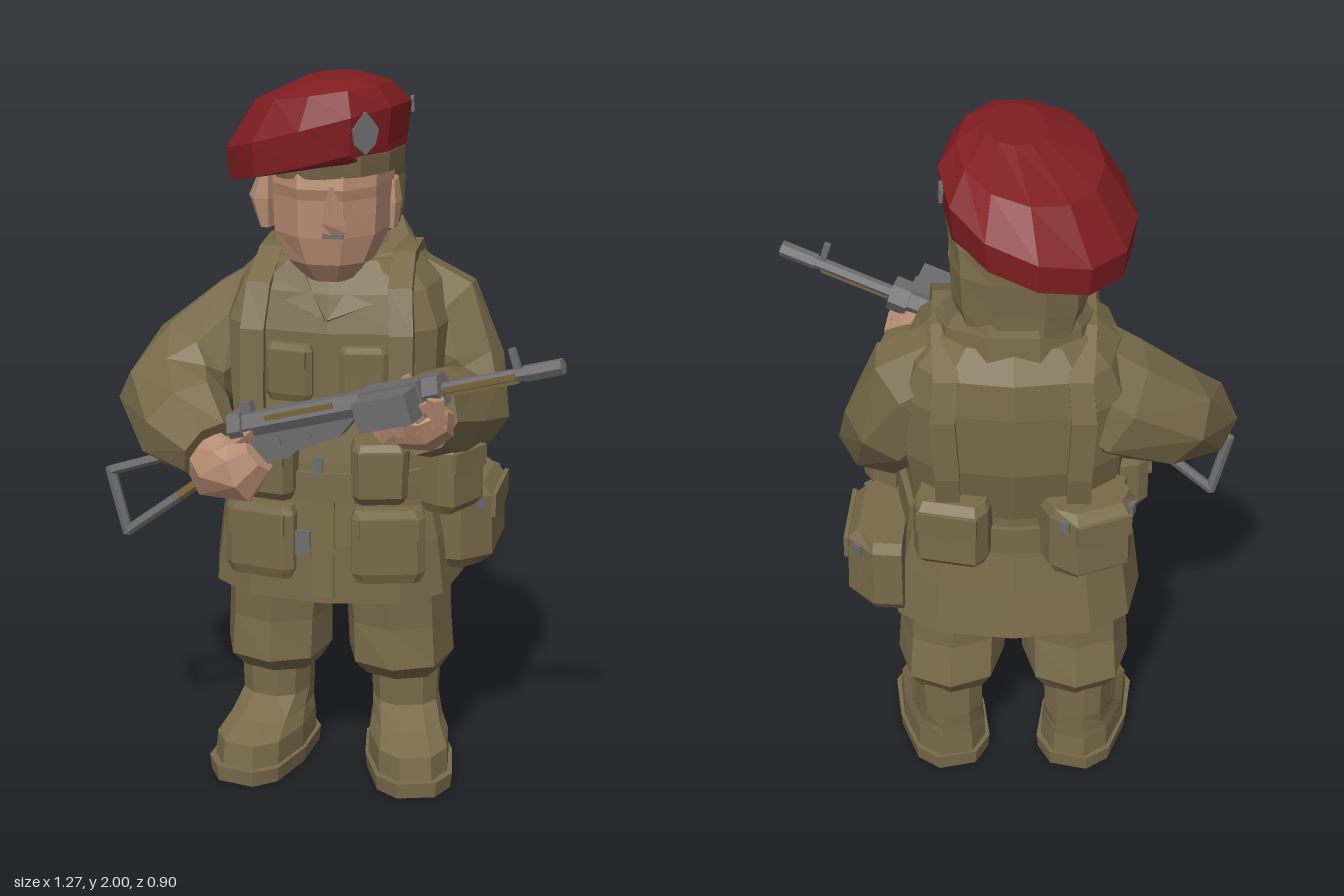
import * as THREE from 'three';

const paint = (name, color) => { const m = new THREE.MeshStandardMaterial({ color }); m.name = name; return m; };
const CX = -0.02; // body centre line

export function createModel() {
  const model = new THREE.Group();
  model.name = 'soldier';
  const khaki = paint('khaki cloth', 0x786a49), red = paint('beret red', 0x801d20), skin = paint('skin', 0xb48a70);
  const metal = paint('gun metal', 0x6c6d6c), brown = paint('brown trim', 0x7a653b);

  // Every surface is faceted
  function add(name, geo, mat, parent = model, pos = [0, 0, 0], rot = [0, 0, 0]) {
    const g = geo.index ? geo.toNonIndexed() : geo;
    g.computeVertexNormals();
    const mesh = new THREE.Mesh(g, mat);
    mesh.name = name;
    mesh.position.set(...pos);
    mesh.rotation.set(...rot);
    parent.add(mesh);
    return mesh;
  }
  const box = (name, size, mat, parent, pos, rot) => add(name, new THREE.BoxGeometry(...size), mat, parent, pos, rot);

  // Skin a stack of point rings and close both ends
  function skinRings(rings) {
    const n = rings[0].length, p = [], tri = (...v) => v.forEach((q) => p.push(q.x, q.y, q.z));
    for (let r = 0; r < rings.length - 1; r++) for (let i = 0; i < n; i++) {
      const j = (i + 1) % n, lo = rings[r], up = rings[r + 1];
      tri(lo[i], up[i], up[j], lo[i], up[j], lo[j]);
    }
    const mid = (ring) => ring.reduce((s, q) => s.add(q), new THREE.Vector3()).divideScalar(n);
    const a = rings[0], b = rings[rings.length - 1], ca = mid(a), cb = mid(b);
    for (let i = 0; i < n; i++) {
      const j = (i + 1) % n;
      tri(ca, a[i], a[j], cb, b[j], b[i]);
    }
    const g = new THREE.BufferGeometry();
    g.setAttribute('position', new THREE.Float32BufferAttribute(p, 3));
    return g;
  }
  const sq = (v, e) => Math.sign(v) * Math.pow(Math.abs(v), e);

  // Upright form: rows of x, y, z, rx, rz, slope along x, slope along z
  function loft(name, mat, rows, n = 8, e = 1, parent = model) {
    return add(name, skinRings(rows.map(([x, y, z, rx, rz, sx = 0, sz = 0]) => Array.from({ length: n }, (_, i) => {
      const t = (i / n) * Math.PI * 2, dx = rx * sq(Math.cos(t), e), dz = rz * sq(Math.sin(t), e);
      return new THREE.Vector3(x + dx, y + dx * sx + dz * sz, z + dz);
    }))), mat, parent);
  }

  // Bent form along a path: rows of x, y, z, radius in the bend, radius across it
  function limb(name, mat, rows, n = 8, ref) {
    const c = rows.map((r) => new THREE.Vector3(r[0], r[1], r[2])), last = c.length - 1;
    const side = ref ? new THREE.Vector3(...ref)
      : c[1].clone().sub(c[0]).cross(c[last].clone().sub(c[last - 1])).normalize();
    return add(name, skinRings(rows.map((r, k) => {
      const d = c[Math.min(k + 1, last)].clone().sub(c[Math.max(k - 1, 0)]).normalize();
      const u = d.clone().cross(side).normalize(), v = u.clone().cross(d);
      return Array.from({ length: n }, (_, i) => {
        const t = ((i + 0.5) / n) * Math.PI * 2;
        return c[k].clone().addScaledVector(u, r[3] * Math.cos(t)).addScaledVector(v, r[4] * Math.sin(t));
      });
    })), mat);
  }

  function plate(name, pts, depth, mat, parent, pos, rot) {
    const s = new THREE.Shape(pts.map((p) => new THREE.Vector2(...p)));
    return add(name, new THREE.ExtrudeGeometry(s, { depth, bevelEnabled: false }), mat, parent, pos, rot);
  }
  function rod(name, a, b, r, mat, parent = model) {
    const A = new THREE.Vector3(...a), B = new THREE.Vector3(...b), d = B.clone().sub(A);
    const m = add(name, new THREE.CylinderGeometry(r, r, d.length(), 6), mat, parent);
    m.position.copy(A.add(B).multiplyScalar(0.5));
    m.quaternion.setFromUnitVectors(new THREE.Vector3(0, 1, 0), d.normalize());
  }

  // Bag with bevelled corners and a pointed flap; large bags have a buckle on each bevel
  function pouch(name, pos, [w, h, d], yaw, buckled = false) {
    const g = new THREE.Group();
    g.name = name;
    g.position.set(...pos);
    g.rotation.y = yaw;
    model.add(g);
    const k = buckled ? 0.6 : 0.76, b0 = buckled ? 0 : 0.3;
    const outline = [[-1, -1], [1, -1], [1, b0], [k, 1], [-k, 1], [-1, b0]];
    const ring = (y, s, f) => outline.map(([a, b]) => new THREE.Vector3(a * w * s / 2, y * h, (b > -1 ? b * f : b) * d / 2));
    add('bag', skinRings([ring(-0.5, 0.86, 0.6), ring(-0.36, 1, 1), ring(0.38, 1, 0.95), ring(0.5, 0.9, 0.6)]), khaki, g);
    const f = w * (k / 2 + 0.02);
    plate('flap', [[-f, h * 0.4], [-f, h * 0.12], [0, h * 0.01], [f, h * 0.12], [f, h * 0.4]], 0.012, khaki, g, [0, 0, d / 2 - 0.004]);
    if (buckled) for (const s of [1, -1])
      box('buckle', [0.026, 0.034, 0.014], metal, g, [s * w * 0.4, h * 0.34, d * 0.25 + 0.004], [0, s * 0.8, 0]);
  }

  // Jacket, collar and belt
  loft('jacket', khaki, [
    [CX, 0.595, -0.09, 0.35, 0.28, 0, -0.04], [CX, 0.75, -0.08, 0.33, 0.265], [CX, 0.88, -0.075, 0.3, 0.25],
    [CX, 0.98, -0.08, 0.29, 0.245], [CX, 1.15, -0.115, 0.31, 0.25], [CX, 1.33, -0.12, 0.315, 0.25],
    [CX, 1.43, -0.13, 0.275, 0.23], [CX, 1.505, -0.14, 0.2, 0.17]], 12, 0.74);
  loft('collar', khaki, [[CX, 1.45, -0.13, 0.22, 0.2, 0, -0.1], [CX, 1.51, -0.135, 0.21, 0.185, 0, -0.2], [CX, 1.545, -0.14, 0.18, 0.165, 0, -0.3]], 10);
  loft('belt', khaki, [[CX, 0.875, -0.076, 0.315, 0.265], [CX, 0.955, -0.078, 0.31, 0.262]], 12, 0.76);
  box('beltBuckle', [0.024, 0.07, 0.012], metal, model, [-0.035, 0.965, 0.176]);
  plate('placket', [[-0.03, 0], [0.03, 0], [0.03, 0.28], [-0.03, 0.28]], 0.012, khaki, model, [CX, 0.6, 0.185], [-0.06, 0, 0]);
  box('jacketSnap', [0.05, 0.07, 0.009], metal, model, [-0.08, 0.755, 0.183], [0, -0.1, 0]);
  loft('neck', skin, [[CX, 1.4, -0.1, 0.13, 0.14], [CX, 1.6, -0.1, 0.13, 0.14]], 8);

  for (const s of [1, -1]) {
    const X = (x) => CX + s * x, side = s > 0 ? 'left' : 'right';
    plate(side + 'Lapel', s > 0 ? [[0, 0], [0.15, 0.07], [0.16, 0.13], [0.09, 0.17]] : [[0, 0], [-0.09, 0.17], [-0.16, 0.13], [-0.15, 0.07]],
      0.02, khaki, model, [CX, 1.36, 0.12], [-0.5, s * 0.2, 0]);
    // Webbing over the shoulder
    limb(side + 'Strap', khaki, [[0.19, 0.93, 0.15], [0.2, 1.15, 0.13], [0.2, 1.33, 0.115], [0.19, 1.44, 0.075], [0.18, 1.5, -0.05],
      [0.18, 1.5, -0.2], [0.17, 1.43, -0.345], [0.18, 1.33, -0.365], [0.17, 1.15, -0.36], [0.17, 0.93, -0.315]]
      .map(([x, y, z]) => [X(x), y, z, 0.024, 0.045]), 4, [1, 0, 0]);
    pouch(side + 'ChestPocket', [X(0.1), 1.22, 0.125], [0.13, 0.16, 0.04], s * 0.15);
    pouch(side + 'SkirtPocket', [X(0.175), 0.755, 0.165], [0.2, 0.21, 0.05], s * 0.22);
    pouch(side + 'AmmoPouch', [X(0.15), 0.965, 0.165], [0.15, 0.17, 0.09], s * 0.2);

    // Trousers and boots
    loft(side + 'TrouserLeg', khaki, [[X(0.175), 0.285, -0.115, 0.115, 0.12], [X(0.175), 0.345, -0.1, 0.15, 0.18],
      [X(0.17), 0.46, -0.09, 0.148, 0.155], [X(0.158), 0.64, -0.08, 0.155, 0.16]], 8, 0.85);
    const boot = new THREE.Group();
    boot.name = side + 'Boot';
    boot.position.set(X(0.185), 0, -0.13);
    boot.rotation.y = s * 0.24;
    model.add(boot);
    loft('bootSole', khaki, [[0, 0, 0.097, 0.12, 0.212], [0, 0.045, 0.097, 0.125, 0.215]], 10, 0.7, boot);
    loft('bootUpper', khaki, [[0, 0.045, 0.092, 0.115, 0.205], [0, 0.11, 0.088, 0.113, 0.195], [0, 0.145, 0.045, 0.1, 0.15],
      [0, 0.19, 0, 0.095, 0.105], [0, 0.31, 0, 0.1, 0.105]], 10, 0.8, boot);
  }
  loft('rightEar', skin, [[-0.215, 1.57, -0.06, 0.02, 0.03], [-0.225, 1.65, -0.07, 0.04, 0.05], [-0.215, 1.72, -0.07, 0.02, 0.04]], 6);
  loft('leftEar', skin, [[0.125, 1.58, -0.07, 0.015, 0.03], [0.125, 1.65, -0.08, 0.024, 0.045], [0.125, 1.71, -0.08, 0.015, 0.035]], 6);

  // Bags hung round the belt
  pouch('leftHipPouch', [0.31, 0.935, 0.05], [0.16, 0.2, 0.12], 1.0);
  pouch('rightHipPouch', [-0.33, 0.92, -0.02], [0.15, 0.17, 0.09], -1.35);
  pouch('satchel', [0.345, 0.755, -0.135], [0.34, 0.23, 0.155], Math.PI / 2 - 0.06, true);
  pouch('backLeftPouch', [0.14, 0.965, -0.33], [0.2, 0.2, 0.13], Math.PI - 0.2);
  pouch('backRightPouch', [-0.225, 0.955, -0.335], [0.24, 0.21, 0.15], Math.PI + 0.42, true);

  // Sleeves and hands
  limb('leftSleeve', khaki, [[0.1, 1.37, -0.17, 0.11, 0.15], [0.225, 1.3, -0.17, 0.125, 0.165], [0.295, 1.17, -0.14, 0.12, 0.14],
    [0.315, 1.085, -0.07, 0.14, 0.125], [0.28, 1.11, 0.07, 0.125, 0.125], [0.255, 1.145, 0.22, 0.09, 0.105]]);
  limb('rightSleeve', khaki, [[-0.14, 1.37, -0.17, 0.12, 0.16], [-0.28, 1.27, -0.17, 0.135, 0.17], [-0.42, 1.165, -0.1, 0.15, 0.14],
    [-0.475, 1.1, 0.0, 0.155, 0.125], [-0.41, 1.055, 0.12, 0.14, 0.118], [-0.32, 1.01, 0.2, 0.09, 0.095]]);
  limb('leftHand', skin, [[0.26, 1.13, 0.2, 0.06, 0.08], [0.25, 1.145, 0.27, 0.075, 0.1], [0.24, 1.17, 0.33, 0.065, 0.1], [0.235, 1.2, 0.36, 0.035, 0.075]], 8, [1, 0, 0]);
  limb('rightHand', skin, [[-0.37, 1.03, 0.17, 0.06, 0.06], [-0.3, 0.97, 0.22, 0.09, 0.07], [-0.23, 0.97, 0.245, 0.085, 0.06], [-0.18, 1.02, 0.25, 0.05, 0.04]], 7, [0, 0, 1]);
  for (let i = 0; i < 4; i++) {
    const x = 0.17 + i * 0.045, y = 1.14 + i * 0.013;
    limb('leftFinger', skin, [[x, y, 0.29, 0.028, 0.027], [x, y + 0.005, 0.36, 0.028, 0.027], [x, y + 0.07, 0.37, 0.022, 0.024]], 5, [1, 0, 0]);
  }
  rod('leftThumb', [0.28, 1.17, 0.23], [0.2, 1.25, 0.25], 0.028, skin);
  rod('rightThumb', [-0.28, 1.02, 0.22], [-0.2, 1.09, 0.22], 0.026, skin);

  // Head
  loft('head', skin, [[-0.025, 1.46, 0.0, 0.07, 0.085], [-0.03, 1.515, -0.01, 0.12, 0.135], [-0.035, 1.59, -0.06, 0.16, 0.2],
    [-0.035, 1.69, -0.07, 0.165, 0.21], [-0.035, 1.72, -0.07, 0.165, 0.218], [-0.035, 1.79, -0.08, 0.165, 0.21]], 10, 0.85);
  loft('hair', khaki, [[-0.035, 1.52, -0.19, 0.15, 0.12], [-0.035, 1.6, -0.2, 0.172, 0.11], [-0.035, 1.7, -0.19, 0.177, 0.13], [-0.035, 1.77, -0.15, 0.18, 0.17]], 10, 0.85);
  loft('nose', skin, [[0, 1.605, 0.13, 0.035, 0.025], [0, 1.63, 0.13, 0.032, 0.034], [-0.005, 1.73, 0.125, 0.016, 0.018]], 4);
  box('moustache', [0.055, 0.012, 0.009], metal, model, [0, 1.6, 0.143]);

  // Beret sagging to the right, with badges
  loft('beretBand', khaki, [[-0.03, 1.735, -0.085, 0.183, 0.23, 0.06, 0.06], [-0.03, 1.79, -0.085, 0.188, 0.24, 0.06, 0.06]], 12, 0.9);
  loft('beret', red, [[-0.03, 1.768, -0.09, 0.188, 0.24, 0.1, 0.06], [-0.08, 1.758, -0.1, 0.24, 0.285, 0.27, 0.1],
    [-0.08, 1.845, -0.1, 0.25, 0.29, 0.28, 0.13], [-0.06, 1.94, -0.07, 0.185, 0.22, 0.16, 0.12], [-0.02, 1.99, -0.02, 0.08, 0.1, 0.05, 0.04]], 12, 0.95);
  const crest = [[0, -0.055], [0.03, -0.03], [0.04, 0.01], [0.02, 0.035], [0, 0.055], [-0.02, 0.035], [-0.04, 0.01], [-0.03, -0.03]];
  plate('beretBadge', crest, 0.009, metal, model, [0.078, 1.87, 0.12], [-0.08, 0.72, 0]);
  box('beretSidePatch', [0.009, 0.035, 0.05], metal, model, [0.161, 1.89, -0.18], [0, 0.1, 0.1]);

  // Gun, laid out along its own x axis
  const gun = new THREE.Group();
  gun.name = 'gun';
  gun.position.set(0, 1.16, 0.257);
  gun.rotation.set(0, -0.226, 0.304, 'YZX');
  model.add(gun);
  rod('receiver', [-0.27, 0, 0], [0.34, 0, 0], 0.038, metal, gun);
  rod('rearCap', [-0.275, 0, 0], [-0.235, 0, 0], 0.05, metal, gun);
  rod('frontCollar', [0.29, 0, 0], [0.345, 0, 0], 0.048, metal, gun);
  rod('barrel', [0.34, 0, 0], [0.67, 0, 0], 0.018, metal, gun);
  rod('muzzle', [0.57, 0, 0], [0.675, 0, 0], 0.022, metal, gun);
  box('frontSight', [0.018, 0.06, 0.015], metal, gun, [0.555, 0.04, 0]);
  box('rearSight', [0.03, 0.03, 0.03], metal, gun, [-0.22, 0.05, 0]);
  box('magazineHousing', [0.17, 0.095, 0.07], metal, gun, [0.215, -0.005, 0.02]);
  box('magazine', [0.15, 0.08, 0.12], metal, gun, [0.22, -0.005, 0.078]);
  plate('triggerHousing', [[-0.24, -0.02], [-0.22, -0.11], [-0.13, -0.1], [-0.1, -0.085], [0.03, -0.07], [0.1, -0.02]], 0.045, metal, gun, [0, 0, -0.022]);
  for (const x of [-0.15, -0.06]) box('screw', [0.02, 0.02, 0.009], metal, gun, [x, -0.05, 0.026]);
  box('boltSlot', [0.2, 0.014, 0.009], brown, gun, [-0.06, 0.018, 0.034]);
  box('barrelStrip', [0.2, 0.014, 0.009], brown, gun, [0.45, 0, 0.016]);
  box('barrelUnderside', [0.2, 0.009, 0.022], brown, gun, [0.45, -0.016, 0]);

  // Folding wire stock
  rod('stockTop', [-0.62, 0.91, 0.13], [-0.25, 1.05, 0.2], 0.014, metal);
  rod('stockButt', [-0.62, 0.92, 0.13], [-0.575, 0.73, 0.13], 0.015, metal);
  rod('stockLower', [-0.578, 0.735, 0.13], [-0.42, 0.86, 0.16], 0.015, metal);
  rod('stockLowerGrip', [-0.42, 0.86, 0.16], [-0.21, 1.03, 0.205], 0.015, brown);

  return model;
}
